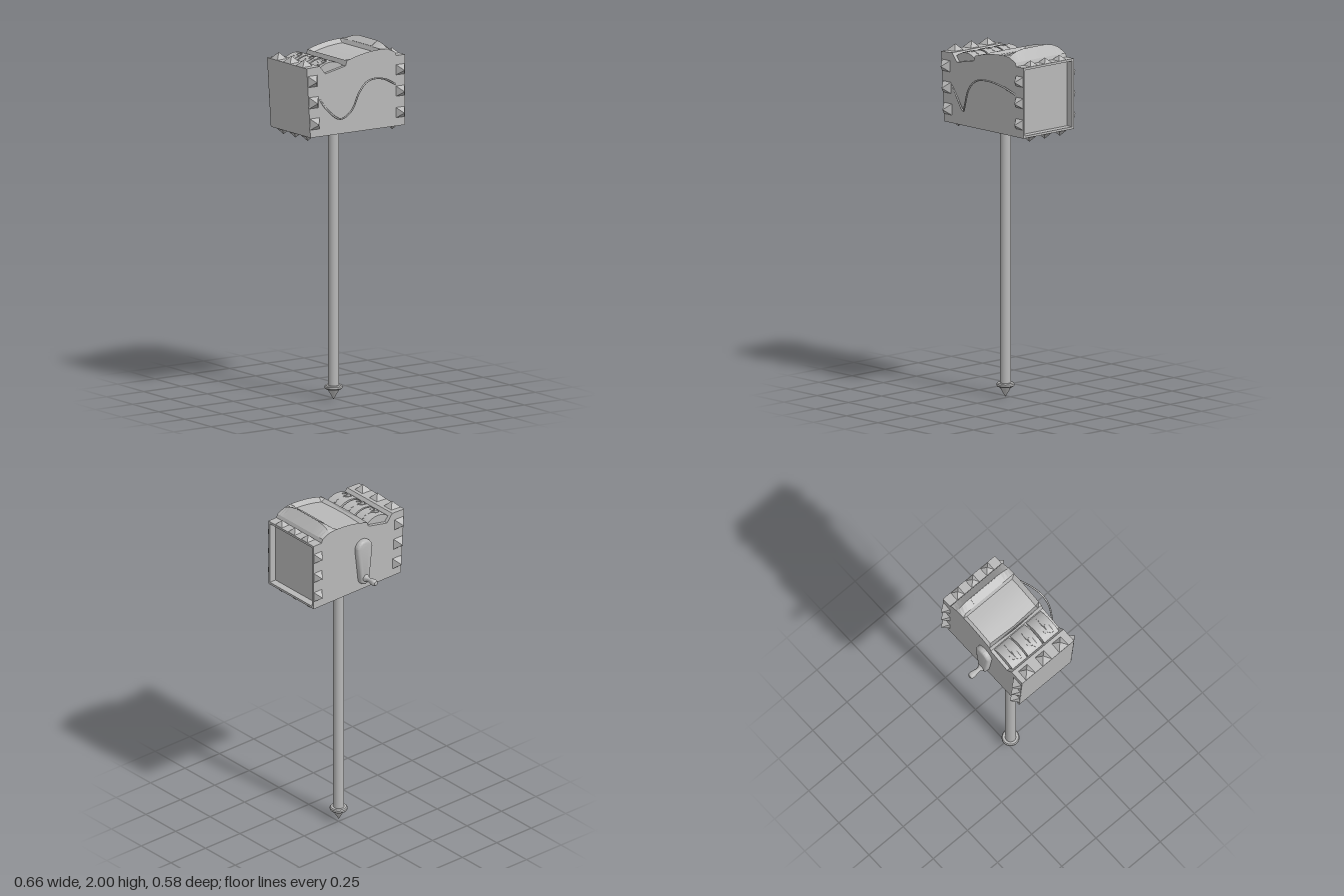
import * as THREE from 'three';
import { toCreasedNormals } from 'three/addons/utils/BufferGeometryUtils.js';

const steel = new THREE.MeshStandardMaterial({ color: 0xb8b8b8 });
steel.name = 'steel grey';
const FRONT = 0.21, BACK = -0.17, MID = 0.02;   // z extents of the head
const HX = -0.018;                              // handle axis

function add(parent, name, geometry, x = 0, y = 0, z = 0) {
  const mesh = new THREE.Mesh(geometry, steel);
  mesh.name = name;
  mesh.position.set(x, y, z);
  parent.add(mesh);
  return mesh;
}

function polygon(points) {
  return new THREE.Shape(points.map(([x, y]) => new THREE.Vector2(x, y)));
}

function lathe(points, segments = 32) {
  const g = new THREE.LatheGeometry(points.map(([r, y]) => new THREE.Vector2(r, y)), segments);
  return toCreasedNormals(g, 0.6);
}

// Surface through rows running front to back, each with columns running left to right
function sheet(rows, crease = 0.2) {
  const pos = [];
  for (let r = 0; r < rows.length - 1; r++) {
    for (let c = 0; c < rows[r].length - 1; c++) {
      const a = rows[r][c], b = rows[r][c + 1], d = rows[r + 1][c], e = rows[r + 1][c + 1];
      pos.push(...a, ...b, ...d, ...b, ...e, ...d);
    }
  }
  const g = new THREE.BufferGeometry();
  g.setAttribute('position', new THREE.Float32BufferAttribute(pos, 3));
  g.computeVertexNormals();
  return toCreasedNormals(g, crease);
}

function spike(parent, half, height, base, dir) {
  let g = new THREE.ConeGeometry(half * Math.SQRT2, height, 4, 1);
  g.rotateY(Math.PI / 4);
  g.translate(0, height / 2 - 0.002, 0);
  g = g.toNonIndexed();
  g.computeVertexNormals();
  const mesh = add(parent, 'spike', g, ...base);
  mesh.quaternion.setFromUnitVectors(new THREE.Vector3(0, 1, 0), new THREE.Vector3(...dir));
}

function makeHead() {
  const head = new THREE.Group();
  head.name = 'head';

  // Solid block with the reel pit and the screen notch in its top
  const block = new THREE.ExtrudeGeometry(polygon([
    [-0.305, 1.53], [0.287, 1.53], [0.287, 1.925], [0.27, 1.925], [0.262, 1.945], [0.212, 1.968],
    [0.168, 1.972], [0.155, 1.89], [-0.04, 1.89], [-0.06, 1.935], [-0.07, 1.906],
    [-0.205, 1.877], [-0.243, 1.924], [-0.33, 1.92],
  ]), { depth: FRONT - BACK, bevelEnabled: false });
  add(head, 'headBlock', block, 0, 0, BACK);

  // Thin rim around the recessed right end
  const rim = polygon([[BACK, 1.53], [FRONT, 1.53], [FRONT, 1.925], [BACK, 1.925]]);
  const t = 0.013;
  rim.holes.push(new THREE.Path(polygon([
    [BACK + t, 1.53 + t], [BACK + t, 1.925 - t], [FRONT - t, 1.925 - t], [FRONT - t, 1.53 + t],
  ]).getPoints()));
  const rimGeo = new THREE.ExtrudeGeometry(rim, { depth: 0.043, bevelEnabled: false });
  rimGeo.translate(0, 0, -0.043).rotateY(-Math.PI / 2);
  add(head, 'endRim', rimGeo, 0.285, 0, 0);

  // Arched screen sunk inside a bevelled frame
  const xs = [-0.06, -0.038, 0.01, 0.06, 0.11, 0.157, 0.168];
  const top = x => 1.972 - 0.72 * (0.168 - x) ** 2;
  const row = (z, kind, bow = 0) => xs.map((x, i) => {
    const edge = i === 0 || i === xs.length - 1;
    const y = kind === 'skirt' ? 1.885 : top(x) - (kind === 'panel' && !edge ? 0.022 : 0);
    return [x - (i < 2 ? bow : 0), y, z];
  });
  add(head, 'screen', sheet([
    row(FRONT, 'skirt'), row(FRONT, 'edge'), row(FRONT - 0.024, 'panel'), row(MID, 'panel', 0.008),
    row(BACK + 0.024, 'panel'), row(BACK, 'edge'), row(BACK, 'skirt'),
  ]));

  // Crest arched from front to back, with a plain plate on its slope
  const rows = [];
  for (const [d, lift] of [[0.19, 0], [0.17, 0.011], [0.15, 0.02], [0.125, 0.027], [0.095, 0.032]]) {
    rows.push([d, lift]);
  }
  const all = [...rows, ...rows.slice().reverse().map(([d, l]) => [-d, l])];
  add(head, 'crest', sheet(all.map(([d, l]) => [
    [0.168, 1.972, MID + d], [0.212, 1.968 + l, MID + d],
    [0.262, 1.945, MID + d], [0.27, 1.925, MID + d],
  ])));
  const plate = add(head, 'crestPlate', new THREE.BoxGeometry(0.048, 0.004, 0.19), 0.19, 1.986, MID);
  plate.rotation.z = Math.atan2(0.028, 0.044);

  // Spikes along both ends of the front, back, top and underside
  for (const [y, x] of [[1.845, -0.291], [1.725, -0.284], [1.605, -0.276]]) {
    for (const [z, s] of [[FRONT, 1], [BACK, -1]]) {
      spike(head, 0.033, 0.043, [x, y, z], [0, 0, s]);
      spike(head, 0.03, 0.043, [0.297, y, z], [0, 0, s]);
    }
  }
  for (const i of [-1, 0, 1]) {
    spike(head, 0.034, 0.037, [-0.295, 1.922, 0.015 + i * 0.122], [0, 1, 0]);
    spike(head, 0.029, 0.03, [0.298, 1.925, MID + i * 0.108], [0, 1, 0]);
    spike(head, 0.03, 0.035, [-0.272, 1.53, MID + i * 0.115], [0, -1, 0]);
    spike(head, 0.03, 0.035, [0.295, 1.53, MID + i * 0.115], [0, -1, 0]);
  }
  return head;
}

// Three reels, each with a raised hook mark and a dot following its curve
function makeReels() {
  const group = new THREE.Group();
  group.name = 'reels';
  const R = 0.116, CX = -0.152, CY = 1.819;
  const hook = polygon([
    [0.047, -0.007], [0, -0.014], [-0.014, -0.032], [-0.043, -0.027], [-0.048, -0.006],
    [-0.063, 0.001], [-0.06, 0.02], [-0.04, 0.027], [-0.014, 0.02], [-0.036, 0.014],
    [-0.04, 0.002], [-0.025, -0.008], [-0.012, -0.005], [-0.004, 0.006],
  ].map(([x, z]) => [x, -z - 0.008]));
  const dot = new THREE.Shape().absarc(0.058, 0, 0.006, 0, Math.PI * 2);
  for (const z of [-0.097, 0.018, 0.136]) {
    const drum = new THREE.CylinderGeometry(R, R, 0.106, 64);
    drum.rotateX(Math.PI / 2);
    add(group, 'reel', drum, CX, CY, z);
    for (const [name, shape] of [['hookMark', hook], ['dotMark', dot]]) {
      const g = new THREE.ExtrudeGeometry(shape, { depth: 0.004, bevelEnabled: false });
      g.rotateX(-Math.PI / 2);
      const p = g.attributes.position;
      for (let i = 0; i < p.count; i++) {
        p.setY(i, p.getY(i) - 0.001 + Math.sqrt(R * R - p.getX(i) ** 2));
      }
      g.computeVertexNormals();
      add(group, name, g, CX, CY, z);
    }
  }
  return group;
}

// Teardrop lever plate with a turned knob on the back
function makeLever() {
  const lever = new THREE.Group();
  lever.name = 'lever';
  const shape = new THREE.Shape();
  shape.absarc(0, 0, 0.054, -0.11, Math.PI + 0.11);
  shape.absarc(0, -0.19, 0.032, Math.PI + 0.11, Math.PI * 2 - 0.11);
  const plate = new THREE.ExtrudeGeometry(shape, {
    depth: 0.017, bevelThickness: 0.014, bevelSize: 0.02, bevelOffset: -0.02, bevelSegments: 4, curveSegments: 24,
  });
  add(lever, 'leverPlate', toCreasedNormals(plate, 0.6), -0.025, 1.79, -0.188);
  const knob = lathe([
    [0.022, 0], [0.02, 0.008], [0.013, 0.018], [0.012, 0.028], [0.016, 0.05],
    [0.019, 0.066], [0.018, 0.078], [0.012, 0.087], [0, 0.091],
  ], 24);
  knob.rotateX(-Math.PI / 2);
  add(lever, 'leverKnob', knob, -0.025, 1.61, -0.198);
  return lever;
}

export function createModel() {
  const model = new THREE.Group();
  model.name = 'hammer';
  model.add(makeHead(), makeReels(), makeLever());

  // Cable looping out from the front face
  const path = new THREE.CatmullRomCurve3([
    [-0.25, 1.75, 0.206], [-0.2, 1.68, 0.213], [-0.125, 1.62, 0.238], [-0.075, 1.665, 0.272],
    [-0.03, 1.765, 0.284], [0.02, 1.815, 0.28], [0.08, 1.827, 0.267], [0.17, 1.81, 0.241], [0.265, 1.765, 0.208],
  ].map(p => new THREE.Vector3(...p)));
  add(model, 'cable', new THREE.TubeGeometry(path, 80, 0.005, 10));

  // Handle with collars and a pointed foot
  add(model, 'handle', new THREE.CylinderGeometry(0.03, 0.03, 1.47, 32), HX, 0.795, MID);
  const collar = [[0.028, -0.011], [0.044, -0.011], [0.049, -0.005], [0.049, 0.005], [0.044, 0.011], [0.028, 0.011]];
  add(model, 'topCollar', lathe(collar), HX, 1.518, MID);
  add(model, 'footCollar', lathe(collar), HX, 0.07, MID);
  add(model, 'footSpike', lathe([[0, 0], [0.032, 0.055], [0.03, 0.065]]), HX, 0, MID);
  return model;
}
